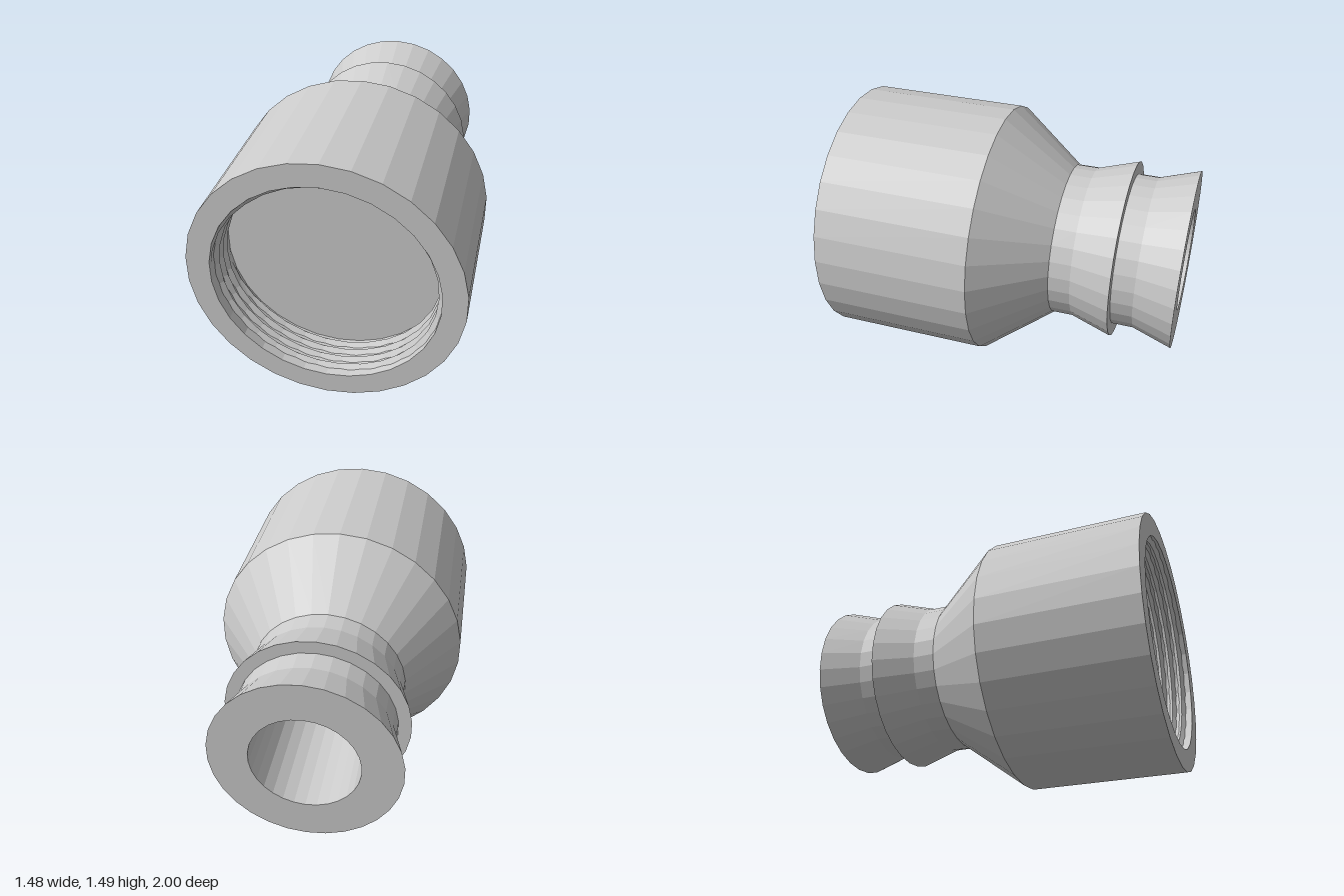
import * as THREE from 'three';

const SEGMENTS = 30;
const material = new THREE.MeshStandardMaterial({
  color: 0xcccccc, flatShading: true,
});

// Profile as [radius, position along z], from the bore floor round to the socket floor
const PROFILE = [
  [0, 0.6], [0.3, 0.6], [0.3, -1],                   // hose bore
  [0.523, -1], [0.45, -0.77], [0.45, -0.645],        // rear barb
  [0.523, -0.645], [0.45, -0.41], [0.45, -0.285],    // front barb and neck
  [0.745, 0.1], [0.745, 1],                          // cone and collar
  [0.615, 1], [0.615, 0.72], [0, 0.72],              // threaded socket
];

function makeBody() {
  const points = PROFILE.map(([r, z]) => new THREE.Vector2(r, z));
  return new THREE.LatheGeometry(points, SEGMENTS);
}

// Triangular ridge swept along a helix, fading into the wall at both ends
function makeThread({ start, end, turns, root, crest, halfWidth }) {
  const steps = turns * SEGMENTS;
  const positions = [];
  const indices = [];
  for (let i = 0; i <= steps; i++) {
    const angle = (i / SEGMENTS) * Math.PI * 2 - Math.PI / 2;
    const y = start + (end - start) * (i / steps);
    const fade = Math.min(1, i / 4, (steps - i) / 4);
    const section = [
      [root, y + halfWidth],
      [root + (crest - root) * fade, y],
      [root, y - halfWidth],
    ];
    for (const [r, h] of section) {
      positions.push(r * Math.sin(angle), h, r * Math.cos(angle));
    }
    if (i === steps) continue;
    for (let k = 0; k < 2; k++) {
      const a = i * 3 + k;
      const b = a + 3;
      indices.push(a, b, a + 1, b + 1, a + 1, b);
    }
  }
  const geometry = new THREE.BufferGeometry();
  geometry.setAttribute('position', new THREE.Float32BufferAttribute(positions, 3));
  geometry.setIndex(indices);
  geometry.computeVertexNormals();
  return geometry;
}

export function createModel() {
  const model = new THREE.Group();
  model.name = 'hoseAdapter';

  const parts = {
    adapterBody: makeBody(),
    internalThread: makeThread({
      start: 0.745, end: 0.975, turns: 4, root: 0.617, crest: 0.59, halfWidth: 0.022,
    }),
  };

  // Lay the turned parts along z and rest them on the ground
  for (const [name, geometry] of Object.entries(parts)) {
    geometry.rotateX(Math.PI / 2);
    geometry.translate(0, 0.745, 0);
    const mesh = new THREE.Mesh(geometry, material);
    mesh.name = name;
    model.add(mesh);
  }
  return model;
}
